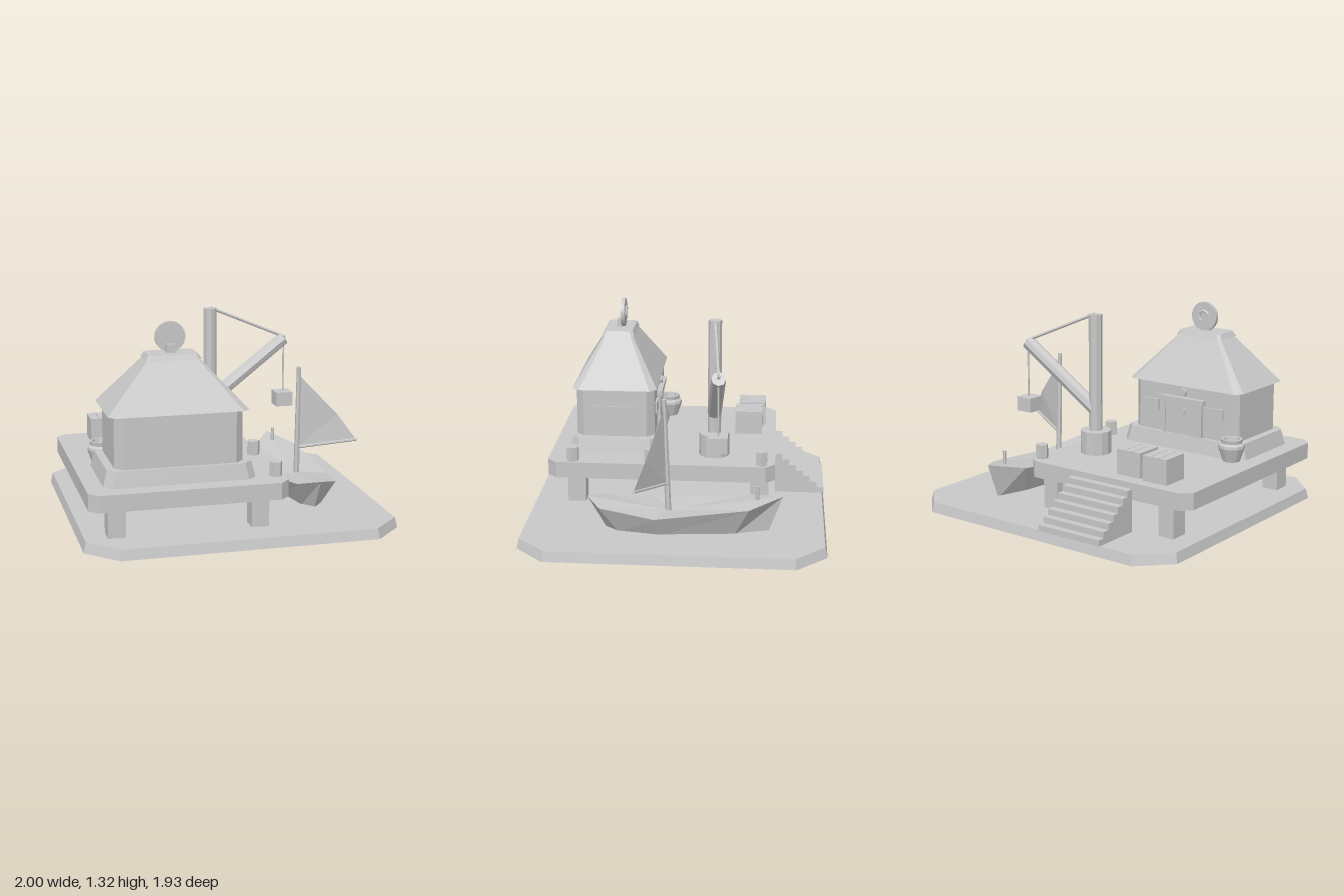
import * as THREE from 'three';

// Double sided, as the ground slab is an open shell and the sail is thin
const stone = new THREE.MeshStandardMaterial({ color: 0xc8c8c8, side: THREE.DoubleSide });
stone.name = 'plain grey';

export function createModel() {
  const model = new THREE.Group();

  // Adds a part with hard facets
  const add = (name, geo, x = 0, y = 0, z = 0) => {
    const g = geo.index ? geo.toNonIndexed() : geo;
    g.computeVertexNormals();
    const m = new THREE.Mesh(g, stone);
    m.name = name;
    m.position.set(x, y, z);
    model.add(m);
    return m;
  };
  // Box given by its limits on each axis
  const box = (name, x0, x1, y0, y1, z0, z1) =>
    add(name, new THREE.BoxGeometry(x1 - x0, y1 - y0, z1 - z0), (x0 + x1) / 2, (y0 + y1) / 2, (z0 + z1) / 2);
  // Round bar between two points
  const bar = (name, a, b, r0, r1 = r0, sides = 6) => {
    const p = new THREE.Vector3(...a), q = new THREE.Vector3(...b);
    const d = q.clone().sub(p);
    const m = add(name, new THREE.CylinderGeometry(r1, r0, d.length(), sides), ...p.clone().add(q).multiplyScalar(0.5).toArray());
    m.quaternion.setFromUnitVectors(new THREE.Vector3(0, 1, 0), d.normalize());
    return m;
  };
  // Skin over stacked rings, each counter-clockwise from above
  const loft = (rings, closedBelow = true) => {
    const pos = [], n = rings[0].length;
    const tri = (...p) => p.forEach((v) => pos.push(...v));
    for (let k = 0; k + 1 < rings.length; k++) {
      for (let i = 0; i < n; i++) {
        const j = (i + 1) % n, a = rings[k], b = rings[k + 1];
        tri(a[i], a[j], b[j]);
        tri(a[i], b[j], b[i]);
      }
    }
    const lo = rings[0], hi = rings[rings.length - 1];
    for (let i = 1; i + 1 < n; i++) {
      if (closedBelow) tri(lo[0], lo[i + 1], lo[i]);
      tri(hi[0], hi[i], hi[i + 1]);
    }
    return new THREE.BufferGeometry().setAttribute('position', new THREE.Float32BufferAttribute(pos, 3));
  };
  // Rectangle with cut corners: half width, half depth, cut, height
  const oct = (w, d, c, y) => [
    [w, y, d - c], [w, y, -d + c], [w - c, y, -d], [-w + c, y, -d],
    [-w, y, -d + c], [-w, y, d - c], [-w + c, y, d], [w - c, y, d]];

  // Ground slab, hollow underneath
  add('base', loft([oct(1, 0.963, 0.19, 0), oct(0.985, 0.948, 0.185, 0.065)], false));

  // Raised platform and its legs
  add('platform', loft([oct(0.62, 0.743, 0.06, 0.268), oct(0.62, 0.743, 0.06, 0.375)]), -0.351, 0, 0.113);
  for (const x of [-0.79, 0.109]) {
    for (const z of [0.677, -0.53]) box('platformLeg', x - 0.055, x + 0.055, 0.05, 0.28, z - 0.06, z + 0.06);
  }

  // Solid stairs at the back
  for (let i = 0; i < 7; i++) {
    const z = -0.63 - i * 0.047;
    box('stairStep', -0.567, -0.1, 0.065, 0.065 + 0.0388 * (7 - i), z - 0.047, z);
  }

  // House
  const hx = -0.385, hz = 0.435;
  add('housePlinth', loft([oct(0.475, 0.302, 0.055, 0.375), oct(0.45, 0.282, 0.05, 0.475)]), hx, 0, hz);
  add('houseWalls', loft([oct(0.4, 0.26, 0.05, 0.47), oct(0.4, 0.26, 0.05, 0.81)]), hx, 0, hz);
  add('roof', loft([oct(0.437, 0.28, 0.045, 0.8), oct(0.16, 0.095, 0.015, 1.102)]), hx, 0, hz);
  add('roofCap', loft([oct(0.175, 0.11, 0.02, 1.098), oct(0.155, 0.095, 0.02, 1.13)]), hx, 0, hz);

  // Round crest on the roof, with its block and raised curl
  add('roofDisc', new THREE.CylinderGeometry(0.095, 0.095, 0.024, 32).rotateX(Math.PI / 2), hx, 1.225, 0.412);
  box('discBlock', hx - 0.03, hx + 0.03, 1.13, 1.183, 0.42, 0.455);
  add('discCurl', new THREE.TorusGeometry(0.035, 0.01, 5, 10, 4), hx, 1.225, 0.397).rotation.z = -1.2;

  // Door and windows
  const wall = hz - 0.26;
  box('door', hx - 0.13, hx + 0.13, 0.47, 0.7, wall - 0.015, wall + 0.01);
  box('doorLintel', hx - 0.172, hx + 0.172, 0.695, 0.725, wall - 0.035, wall + 0.01);
  for (const s of [-1, 1]) {
    box('doorPost', hx + s * 0.142 - 0.012, hx + s * 0.142 + 0.012, 0.47, 0.7, wall - 0.022, wall + 0.01);
    box('backWindow', hx + s * 0.25 - 0.06, hx + s * 0.25 + 0.06, 0.61, 0.684, wall - 0.012, wall + 0.01);
  }
  for (const [name, y] of [['doorLamp', 0.757], ['doorPorthole', 0.635]]) {
    add(name, new THREE.CylinderGeometry(0.027, 0.027, 0.03, 12).rotateX(Math.PI / 2), hx, y, wall - 0.008);
  }
  box('sideWindow', hx + 0.4, hx + 0.408, 0.611, 0.684, 0.3, 0.575);

  // Crane
  const cz = -0.226, tip = [0.553, 1.05, -0.275];
  bar('craneFoot', [0.027, 0.375, cz], [0.027, 0.525, cz], 0.1, 0.1, 12);
  bar('cranePost', [0.027, 0.5, cz], [0.027, 1.285, cz], 0.044, 0.044, 8);
  bar('craneBoom', [0.035, 0.665, cz], tip, 0.046, 0.046, 8);
  bar('craneStay', [0.035, 1.285, cz], [0.566, 1.058, -0.275], 0.011);
  bar('craneRope', [0.555, 1.04, -0.275], [0.555, 0.67, -0.275], 0.006);
  box('hangingCrate', 0.492, 0.608, 0.587, 0.682, -0.335, -0.215);

  // Boat hull: bow, left side, stern, right side
  const side = [[0.14, 0.25, -0.475], [0.185, 0.19, 0.11], [0.13, 0.235, 0.46]];
  const keel = [[0.064, 0.05, -0.383], [0.111, 0.05, 0.088], [0.067, 0.05, 0.342]];
  const ring = (bow, pts, stern) => [bow, ...pts.map(([w, y, z]) => [-w, y, z]), stern, ...[...pts].reverse()];
  const sheer = ring([0, 0.295, -0.685], side, [0, 0.265, 0.55]);
  const foot = ring([0, 0.05, -0.594], keel, [0, 0.05, 0.424]);
  const middle = sheer.map(([x, , z]) => [x * 0.02, 0.185, 0.02 + z * 0.02]);
  add('boatHull', loft([foot, sheer, middle]), 0.562);
  bar('boatPost', [0.56, 0.22, -0.525], [0.56, 0.357, -0.525], 0.012);

  // Mast, sail boom and sail
  bar('mast', [0.562, 0.15, 0.033], [0.562, 0.915, 0.06], 0.02, 0.015);
  bar('sailBoom', [0.56, 0.362, 0.04], [0.918, 0.438, 0.215], 0.01);
  const head = [0.565, 0.86, 0.058], tack = [0.565, 0.365, 0.042], clew = [0.915, 0.44, 0.214];
  const leech = [0.805, 0.6, 0.15];
  const cloth = [head, tack, leech, tack, clew, leech].flat();
  add('sail', new THREE.BufferGeometry().setAttribute('position', new THREE.Float32BufferAttribute(cloth, 3)));

  // Bollards along the quay edge
  for (const z of [-0.543, 0.182, 0.692]) bar('bollard', [0.217, 0.375, z], [0.217, 0.467, z], 0.041).rotateY(Math.PI / 6);

  // Crates with slatted lids
  for (const [x, z] of [[-0.677, -0.462], [-0.467, -0.442]]) {
    box('crate', x - 0.088, x + 0.088, 0.375, 0.53, z - 0.092, z + 0.092);
    for (const s of [-1, 0, 1]) box('crateSlat', x + s * 0.06 - 0.028, x + s * 0.06 + 0.028, 0.525, 0.536, z - 0.092, z + 0.092);
  }

  // Open pot beside the house
  const pot = [[0, 0], [0.055, 0], [0.085, 0.09], [0.083, 0.108], [0.066, 0.12], [0.07, 0.145], [0.056, 0.145], [0.05, 0.115], [0, 0.115]];
  add('pot', new THREE.LatheGeometry(pot.map((p) => new THREE.Vector2(...p)), 12), -0.785, 0.375, 0.135);

  return model;
}
